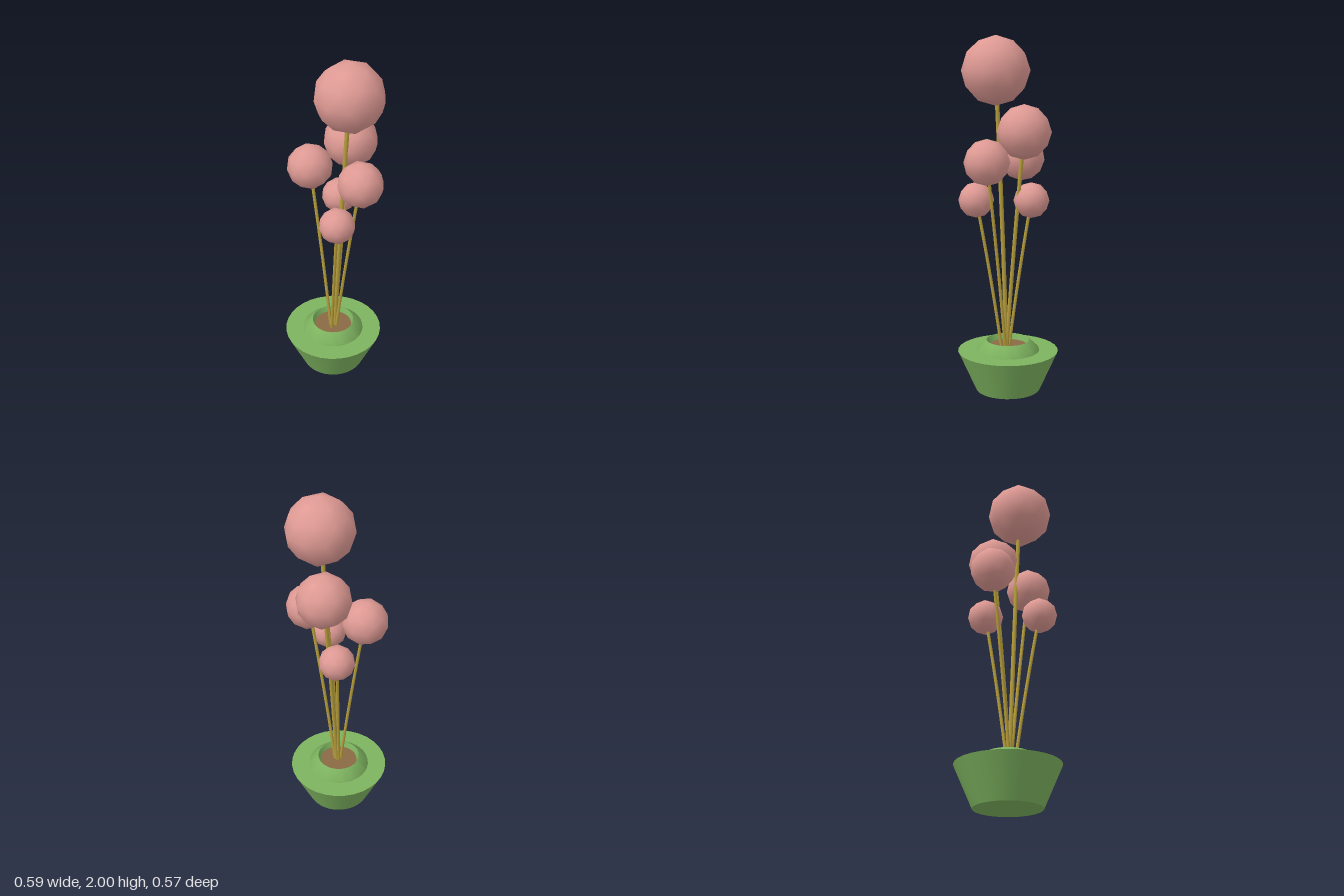
import * as THREE from 'three';
import { toCreasedNormals } from 'three/addons/utils/BufferGeometryUtils.js';

const mat = (color, side = THREE.FrontSide) => {
  const m = new THREE.MeshStandardMaterial({ color });
  m.side = side;
  return m;
};

export function createModel() {
  const model = new THREE.Group();
  const green = mat(0x7db35f, THREE.DoubleSide);
  const brown = mat(0x8a6a45);
  const gold = mat(0xb89f3c);
  const pink = mat(0xdf9a94);

  const add = (parent, name, geometry, material, x = 0, y = 0, z = 0) => {
    const mesh = new THREE.Mesh(geometry, material);
    mesh.name = name;
    mesh.position.set(x, y, z);
    parent.add(mesh);
    return mesh;
  };

  // Tapered pot with a raised collar around the soil
  const pot = new THREE.Group();
  pot.name = 'pot';
  pot.position.x = -0.012;
  model.add(pot);
  add(pot, 'potBody', new THREE.CylinderGeometry(0.287, 0.185, 0.23, 32), green, 0, 0.115, 0);
  const collar = [[0.18, 0.23], [0.178, 0.238], [0.123, 0.29], [0.108, 0.25]]
    .map(([r, y]) => new THREE.Vector2(r, y));
  add(pot, 'potCollar', toCreasedNormals(new THREE.LatheGeometry(collar, 32), 0.6), green);
  add(pot, 'soil', new THREE.CylinderGeometry(0.11, 0.11, 0.02, 32), brown, 0, 0.246, 0);

  // Faceted ball with one vertex pointing straight up
  const ballGeometry = new THREE.IcosahedronGeometry(1, 1);
  ballGeometry.rotateX(-Math.atan((1 + Math.sqrt(5)) / 2));
  ballGeometry.rotateY(Math.PI / 2);

  // Ball centre, ball radius, stem foot (x, z), stem radius, turn, tilt
  const flowers = [
    { c: [0.095, 1.813, 0], r: 0.187, foot: [0, 0], stem: 0.012, turn: 0, tilt: 0 },
    { c: [0.01, 1.485, -0.128], r: 0.15, foot: [0, 0], stem: 0.011, turn: 0, tilt: 0 },
    { c: [-0.162, 1.322, 0.013], r: 0.127, foot: [-0.018, 0.015], stem: 0.009, turn: -0.12, tilt: 0.12 },
    { c: [0.173, 1.325, 0], r: 0.127, foot: [0.012, 0], stem: 0.009, turn: 0, tilt: 0 },
    { c: [-0.064, 1.104, -0.124], r: 0.1, foot: [-0.016, -0.005], stem: 0.009, turn: 0, tilt: 0 },
    { c: [0.114, 1.104, 0.126], r: 0.1, foot: [0.005, 0.035], stem: 0.009, turn: 0, tilt: 0 },
  ];

  for (const { c, r, foot, stem, turn, tilt } of flowers) {
    const flower = new THREE.Group();
    flower.name = 'flower';
    model.add(flower);

    // Stem bends gently outward toward its ball
    const start = new THREE.Vector3(foot[0], 0.245, foot[1]);
    const end = new THREE.Vector3(...c);
    const bend = start.clone().lerp(end, 0.42);
    bend.y = (start.y + end.y) / 2;
    const path = new THREE.QuadraticBezierCurve3(start, bend, end);
    add(flower, 'stem', new THREE.TubeGeometry(path, 8, stem, 8), gold);

    const ball = add(flower, 'blossom', ballGeometry, pink, ...c);
    ball.scale.setScalar(r);
    ball.rotation.set(0, turn, tilt);
  }
  return model;
}
